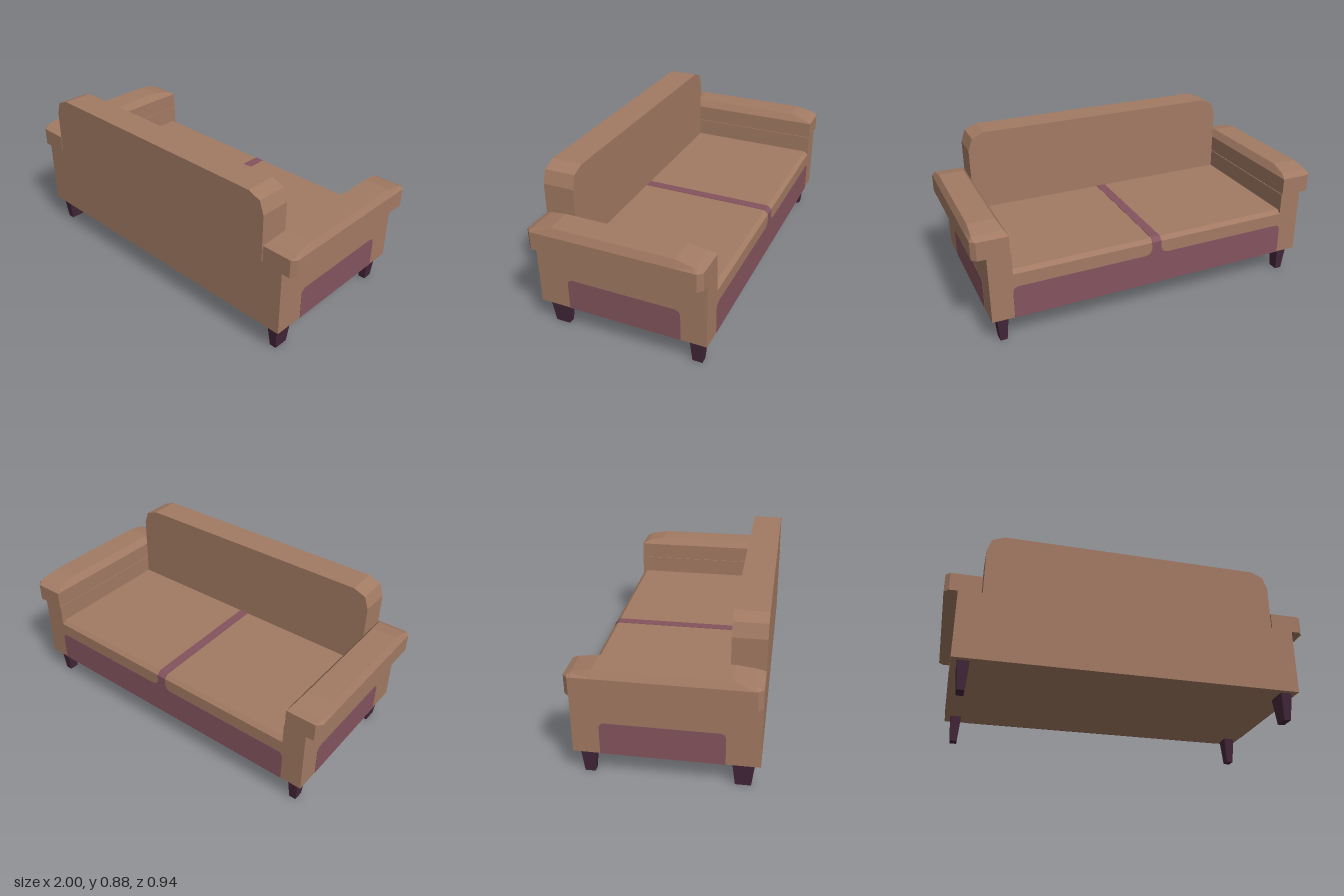
import * as THREE from 'three';

const fabric = new THREE.MeshStandardMaterial({ color: 0xa27a63 });
fabric.name = 'brown fabric';
const accent = new THREE.MeshStandardMaterial({ color: 0x84545e });
accent.name = 'plum fabric';
const wood = new THREE.MeshStandardMaterial({ color: 0x432639 });
wood.name = 'dark wood';

function part(name, geometry, material, parent) {
  const mesh = new THREE.Mesh(geometry, material);
  mesh.name = name;
  parent.add(mesh);
  return mesh;
}

function box(x0, x1, y0, y1, z0, z1) {
  return new THREE.BoxGeometry(x1 - x0, y1 - y0, z1 - z0)
    .translate((x0 + x1) / 2, (y0 + y1) / 2, (z0 + z1) / 2);
}

function extrude(points, depth) {
  const shape = new THREE.Shape(points.map(([x, y]) => new THREE.Vector2(x, y)));
  return new THREE.ExtrudeGeometry(shape, { depth, bevelEnabled: false });
}

// Extrudes a (z, y) outline along x, centred on the given x
function extrudeAlongX(points, width, x) {
  return extrude(points, width).rotateY(-Math.PI / 2).translate(x + width / 2, 0, 0);
}

// Flat-shaded skin over equal rings, closed at both ends
function loft(rings, flip) {
  const pos = [];
  const tri = (a, b, c) => pos.push(...a, ...(flip ? c : b), ...(flip ? b : c));
  const n = rings[0].length;
  for (let r = 0; r < rings.length - 1; r++) {
    for (let i = 0; i < n; i++) {
      const j = (i + 1) % n;
      const [a, b, c, d] = [rings[r][i], rings[r][j], rings[r + 1][j], rings[r + 1][i]];
      tri(a, b, c);
      tri(a, c, d);
    }
  }
  const last = rings[rings.length - 1];
  for (let i = 1; i < n - 1; i++) {
    tri(rings[0][0], rings[0][i + 1], rings[0][i]);
    tri(last[0], last[i], last[i + 1]);
  }
  const g = new THREE.BufferGeometry();
  g.setAttribute('position', new THREE.Float32BufferAttribute(pos, 3));
  g.computeVertexNormals();
  return g;
}

// Armrest pad: crowned top that slopes down to each end, outer corners cut
function armPad(side) {
  // z, crown height, inner crown x, outer crown x, outer side x
  const half = [
    [0.33, 0.66, 0.838, 0.98, 1],
    [0.43, 0.64, 0.825, 0.985, 1],
    [0.445, 0.633, 0.82, 0.985, 1],
    [0.47, 0.62, 0.81, 0.975, 0.975],
  ];
  const stations = [...half.map(([z, ...rest]) => [-z, ...rest]).reverse(), ...half];
  const rings = stations.map(([z, top, inner, outer, edge]) => [
    [0.81, 0.52], [0.81, 0.62], [inner, top], [outer, top], [edge, 0.62], [edge, 0.52],
  ].map(([x, y]) => [side * x, y, z]));
  return loft(rings, side > 0);
}

// Tapered square leg
function legGeometry(width, depth, taperX, taperZ) {
  const g = new THREE.BoxGeometry(width, 0.15, depth);
  const p = g.attributes.position;
  for (let i = 0; i < p.count; i++) {
    if (p.getY(i) < 0) p.setXYZ(i, p.getX(i) * taperX, p.getY(i), p.getZ(i) * taperZ);
  }
  g.computeVertexNormals();
  return g;
}

export function createModel() {
  const sofa = new THREE.Group();
  sofa.name = 'sofa';

  // Seat with a bevelled front edge
  part('seat', extrudeAlongX([
    [-0.47, 0.15], [0.3, 0.15], [0.3, 0.423], [-0.447, 0.423], [-0.47, 0.403],
  ], 1.62, 0), fabric, sofa);

  // Backrest with faceted upper corners
  const corner = [[0.805, 0.15], [0.805, 0.785], [0.78, 0.855], [0.71, 0.883]];
  part('backrest', extrude(
    [...corner, ...corner.map(([x, y]) => [-x, y]).reverse()], 0.17,
  ).translate(0, 0, 0.3), fabric, sofa);

  for (const side of [1, -1]) {
    const label = side > 0 ? 'left' : 'right';
    const [a, b] = [side * 0.805, side * 0.93];
    part(label + 'Side', box(Math.min(a, b), Math.max(a, b), 0.15, 0.525, -0.47, 0.47), fabric, sofa);
    part(label + 'Armrest', armPad(side), fabric, sofa);

    // Plum panel on the outer side
    part(label + 'SidePanel', extrudeAlongX([
      [-0.33, 0.15], [0.298, 0.15], [0.298, 0.305], [0.29, 0.322], [0.272, 0.33],
      [-0.305, 0.33], [-0.322, 0.322], [-0.33, 0.305],
    ], 0.004, side * 0.93), accent, sofa);

    // Legs, the ones under the backrest being deeper
    const front = part(label + 'FrontLeg', legGeometry(0.062, 0.08, 0.62, 0.68), wood, sofa);
    front.position.set(side * 0.868, 0.075, -0.402);
    const rear = part(label + 'RearLeg', legGeometry(0.062, 0.116, 0.62, 0.7), wood, sofa);
    rear.position.set(side * 0.868, 0.075, 0.384);
  }

  // Plum front panel, flaring up into the gap between the cushions
  const edge = [
    [0.81, 0.15], [0.81, 0.305], [0.802, 0.322], [0.785, 0.33],
    [0.065, 0.33], [0.038, 0.34], [0.027, 0.365], [0.027, 0.403],
  ];
  part('frontPanel', extrude(
    [...edge, ...edge.map(([x, y]) => [-x, y]).reverse()], 0.004,
  ).translate(0, 0, -0.472), accent, sofa);

  // Plum gap line over the bevel and along the seat
  part('cushionGap', extrudeAlongX([
    [-0.472, 0.4], [-0.44, 0.418], [0.3, 0.418], [0.3, 0.425], [-0.448, 0.425], [-0.472, 0.404],
  ], 0.054, 0), accent, sofa);

  return sofa;
}
